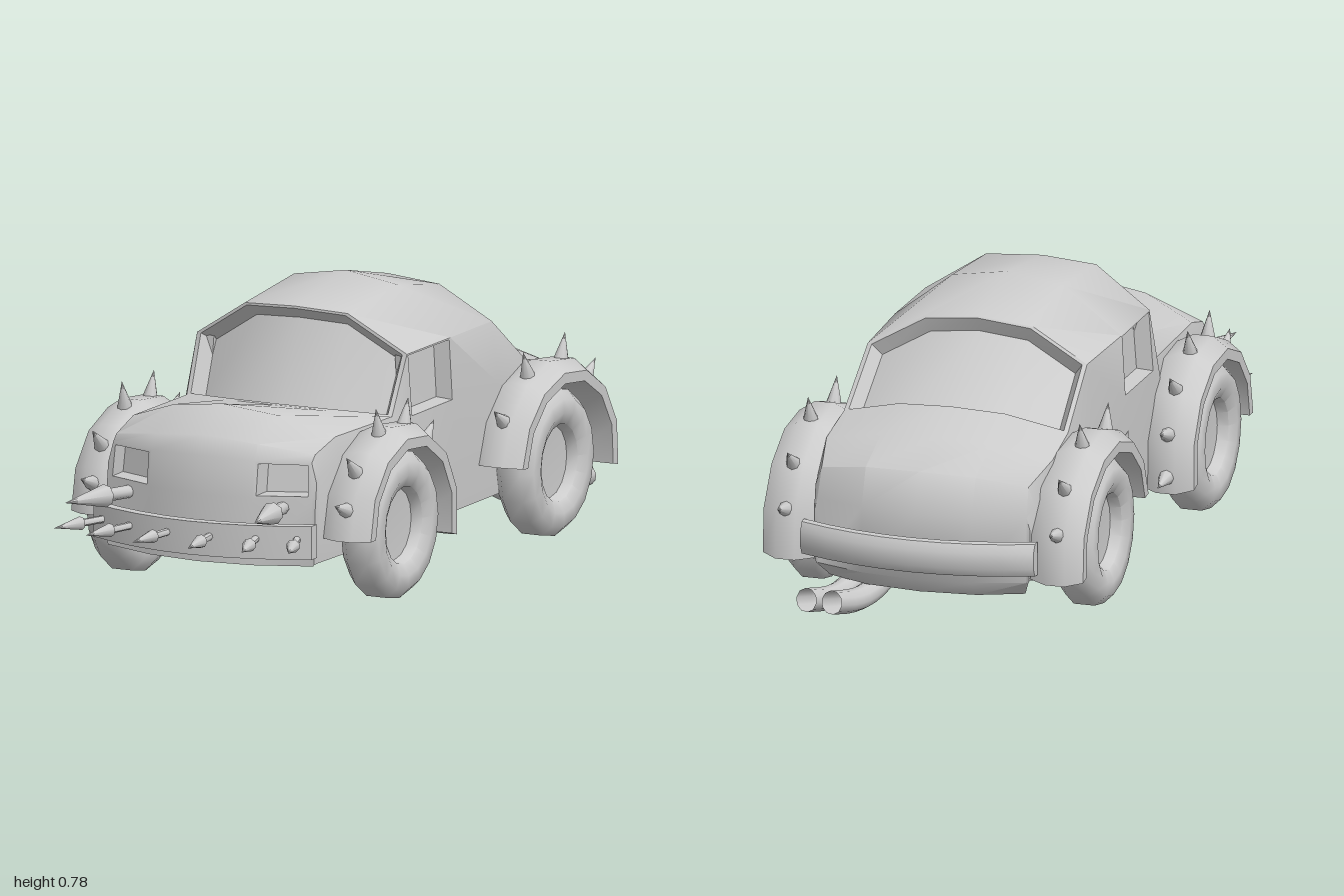
import * as THREE from 'three';
import { toCreasedNormals } from 'three/addons/utils/BufferGeometryUtils.js';

const V = (x, y, z) => new THREE.Vector3(x, y, z);
const material = new THREE.MeshStandardMaterial({ color: 0xcccccc, side: THREE.DoubleSide });

function add(parent, name, geometry) {
  const mesh = new THREE.Mesh(geometry, material);
  mesh.name = name;
  parent.add(mesh);
  return mesh;
}

// Collects quads and turns them into a creased geometry
class Surface {
  constructor() { this.points = []; }
  quad(a, b, c, d) { this.points.push(a, b, c, a, c, d); }
  strip(p, q) { for (let j = 0; j < p.length - 1; j++) this.quad(p[j], p[j + 1], q[j + 1], q[j]); }
  // Opening between two edges: frame, sloping sunken walls and pane
  recess(p, q, frame, slope, offset) {
    const all = [...p, ...q];
    const mid = all.reduce((s, v) => s.add(v), V(0, 0, 0)).divideScalar(all.length);
    const shrink = (r, k) => r.map((v) => v.clone().lerp(mid, k));
    const sunk = (r) => shrink(r, frame + slope).map((v) => v.add(offset));
    const loop = (a, b) => [...a, ...[...b].reverse(), a[0]];
    const rim = loop(shrink(p, frame), shrink(q, frame));
    this.strip(loop(p, q), rim);
    this.strip(rim, loop(sunk(p), sunk(q)));
    this.strip(sunk(p), sunk(q));
  }
  geometry(crease) {
    const g = new THREE.BufferGeometry().setFromPoints(this.points);
    return toCreasedNormals(g, crease);
  }
}

// Closed rings joined in sequence, with both ends capped
function loft(rings, crease) {
  const s = new Surface();
  const closed = rings.map((r) => [...r, r[0]]);
  for (let i = 0; i < closed.length - 1; i++) s.strip(closed[i], closed[i + 1]);
  [closed[0], closed[closed.length - 1]].forEach((r, k) => {
    const c = r.slice(1).reduce((t, v) => t.add(v), V(0, 0, 0)).divideScalar(r.length - 1);
    for (let j = 0; j < r.length - 1; j++) {
      if (k) s.points.push(c, r[j], r[j + 1]);
      else s.points.push(c, r[j + 1], r[j]);
    }
  });
  return s.geometry(crease);
}

// Body shell: each row runs sill, belt, shoulder, roof, then mirrored
function bodyGeometry() {
  // [centre z, centre y, mid y, shoulder x, y, z, side x]
  const rows = [
    [0.77, 0.135, 0.135, 0.31, 0.135, 0.69, 0.315],
    [0.77, 0.322, 0.322, 0.31, 0.322, 0.69, 0.32],
    [0.755, 0.427, 0.422, 0.305, 0.42, 0.68, 0.32],
    [0.735, 0.48, 0.465, 0.305, 0.44, 0.66, 0.32],
    [0.62, 0.545, 0.525, 0.31, 0.47, 0.55, 0.325],
    [0.32, 0.485, 0.48, 0.315, 0.465, 0.225, 0.33],
    [0.195, 0.737, 0.729, 0.322, 0.625, 0.15, 0.335],
    [-0.11, 0.78, 0.755, 0.325, 0.625, -0.1, 0.335],
    [-0.355, 0.725, 0.71, 0.315, 0.62, -0.365, 0.335],
    [-0.6, 0.535, 0.525, 0.322, 0.48, -0.55, 0.333],
    [-0.73, 0.488, 0.48, 0.325, 0.445, -0.69, 0.33],
    [-0.865, 0.43, 0.425, 0.297, 0.4, -0.815, 0.315],
    [-0.905, 0.32, 0.32, 0.3, 0.32, -0.84, 0.31],
    [-0.905, 0.135, 0.135, 0.3, 0.135, -0.84, 0.305],
    [-0.86, 0.088, 0.088, 0.28, 0.088, -0.79, 0.28],
  ].map(([zc, yc, ym, xs, ys, zs, xw]) => {
    const low = Math.min(0.14, ys);
    const half = [
      V(xw - 0.003, low, zs), V(xw, Math.min(0.45, low + (ys - low) * 0.8), zs),
      V(xs, ys, zs), V(0.158, ym, zc + (zs - zc) * 0.25),
    ];
    const mirror = half.map((v) => V(-v.x, v.y, v.z));
    return [...mirror, V(0, yc, zc), ...half.reverse()];
  });

  // Openings: row, first and last column, frame, wall slope, sinking
  const openings = [
    [1, 2, 3, 0.13, 0.02, V(0, 0, -0.06)], [1, 5, 6, 0.13, 0.02, V(0, 0, -0.06)],
    [5, 2, 6, 0.04, 0.08, V(0, -0.02, -0.04)], [8, 2, 6, 0.04, 0.08, V(0, -0.03, 0.025)],
    [6, 1, 2, 0.05, 0.06, V(0.045, 0, 0)], [6, 6, 7, 0.05, 0.06, V(-0.045, 0, 0)],
  ];
  const s = new Surface();
  for (let i = 0; i < rows.length - 1; i++) {
    const here = openings.filter((o) => o[0] === i);
    for (let j = 0; j < 8; j++) {
      if (here.some((o) => j >= o[1] && j < o[2])) continue;
      s.strip(rows[i].slice(j, j + 2), rows[i + 1].slice(j, j + 2));
    }
    for (const [, a, b, ...shape] of here) {
      s.recess(rows[i].slice(a, b + 1), rows[i + 1].slice(a, b + 1), ...shape);
    }
  }
  return s.geometry(0.85);
}

// Curved bumper bar, dir = 1 at the front and -1 at the rear
function bumperGeometry(dir, zMid, bow, section) {
  const rings = [];
  for (let i = 0; i <= 8; i++) {
    const x = -0.335 + (0.67 * i) / 8;
    const z = zMid - bow * (x / 0.335) ** 2;
    rings.push(section.map(([d, y]) => V(x * dir, y, (z + d) * dir)));
  }
  return loft(rings, 0.6);
}

// Point on a fender arch: angle in degrees, offset from its crest line
function archPoint({ z, r0, r1, from, to, stretch }, deg, x, d) {
  const a = THREE.MathUtils.degToRad(deg);
  const r = r0 + ((r1 - r0) * (deg - from)) / (to - from);
  return V(x, 0.205 + (r + d) * Math.sin(a), z + (r * stretch + d) * Math.cos(a));
}

// Arched guard around a wheel, its radius growing to the rear
function fenderGeometry(axle) {
  const section = [[0.31, -0.06], [0.31, -0.025], [0.36, 0], [0.415, 0], [0.46, -0.03], [0.46, -0.06]];
  const rings = [];
  for (let i = 0; i <= 7; i++) {
    const deg = axle.from + ((axle.to - axle.from) * i) / 7;
    rings.push(section.map(([x, d]) => archPoint(axle, deg, x, d)));
  }
  return loft(rings, 0.9);
}

// Cone, optionally on a shaft, running from base along a direction
function spike(parent, name, base, direction, radius, length, shaft = 0) {
  const profile = shaft
    ? [[0, 0], [radius * 0.55, 0], [radius * 0.55, shaft], [radius, shaft], [0, shaft + length]]
    : [[0, 0], [radius, 0], [radius * 0.95, length * 0.15], [0, length]];
  const g = new THREE.LatheGeometry(profile.map(([x, y]) => new THREE.Vector2(x, y)), 8);
  const mesh = add(parent, name, toCreasedNormals(g.toNonIndexed(), 0.9));
  mesh.position.copy(base);
  mesh.quaternion.setFromUnitVectors(V(0, 1, 0), direction.clone().normalize());
}

function wheelGeometry() {
  const profile = [[0, 0.37], [0.1, 0.37], [0.108, 0.34], [0.14, 0.328], [0.175, 0.332], [0.205, 0.36],
    [0.205, 0.42], [0.178, 0.448], [0.14, 0.45], [0.108, 0.435], [0.1, 0.405], [0, 0.4]];
  const g = new THREE.LatheGeometry(profile.map(([r, x]) => new THREE.Vector2(r, x)), 16);
  return toCreasedNormals(g.toNonIndexed().rotateZ(-Math.PI / 2), 0.9);
}

export function createModel() {
  const car = new THREE.Group();
  car.name = 'spikedCar';
  add(car, 'body', bodyGeometry());
  add(car, 'floor', new THREE.BoxGeometry(0.63, 0.006, 1.1)).position.set(0, 0.143, -0.28);

  // Bumpers
  add(car, 'frontBumper', bumperGeometry(1, 0.815, 0.09,
    [[-0.018, 0.165], [-0.018, 0.258], [0.014, 0.258], [0.014, 0.165]]));
  add(car, 'rearBumper', bumperGeometry(-1, 0.938, 0.07,
    [[-0.015, 0.165], [-0.015, 0.26], [0.005, 0.258], [0.018, 0.235], [0.018, 0.19], [0.005, 0.167]]));

  // Wheels, fenders and spikes, mirrored left and right
  const axles = [
    { name: 'front', z: 0.385, r0: 0.265, r1: 0.295, from: 0, to: 196, stretch: 1.035,
      spikes: [19, 43, 77, 108, 137, 163, 187] },
    { name: 'rear', z: -0.535, r0: 0.27, r1: 0.305, from: 8, to: 192, stretch: 1.1,
      spikes: [35, 70, 108, 140, 165] },
  ];
  for (const side of [1, -1]) {
    const half = new THREE.Group();
    half.name = side > 0 ? 'leftSide' : 'rightSide';
    half.scale.x = side;
    car.add(half);
    for (const a of axles) {
      const wheel = add(half, a.name + 'Wheel', wheelGeometry());
      wheel.position.set(0, 0.205, a.z);
      add(half, a.name + 'Fender', fenderGeometry(a));
      for (const deg of a.spikes) {
        const t = THREE.MathUtils.degToRad(deg);
        spike(half, a.name + 'FenderSpike', archPoint(a, deg, 0.39, -0.018), V(0, Math.sin(t), Math.cos(t)), 0.022, 0.085);
      }
    }
    // Bumper and headlight spikes
    for (const [x, z, tx, tz] of [[0.06, 0.78, 0.085, 0.99], [0.18, 0.75, 0.24, 0.97], [0.285, 0.72, 0.36, 0.925]]) {
      const d = V(tx - x, 0, tz - z);
      spike(half, 'bumperSpike', V(x, 0.22, z), d, 0.019, 0.1, d.length() - 0.1);
    }
    spike(half, 'headlightSpike', V(0.23, 0.295, 0.69), V(0.06, 0.015, 0.3), 0.032, 0.175, 0.135);
  }

  // Twin exhaust with open ends
  for (const dx of [0, 0.073]) {
    const path = new THREE.CatmullRomCurve3([
      V(0.145 + dx, 0.135, -0.66), V(0.148 + dx, 0.078, -0.72), V(0.165 + dx, 0.053, -0.82),
      V(0.182 + dx, 0.055, -0.9), V(0.208 + dx, 0.075, -0.995)]);
    add(car, 'exhaustPipe', new THREE.TubeGeometry(path, 10, 0.033, 10));
  }
  return car;
}
